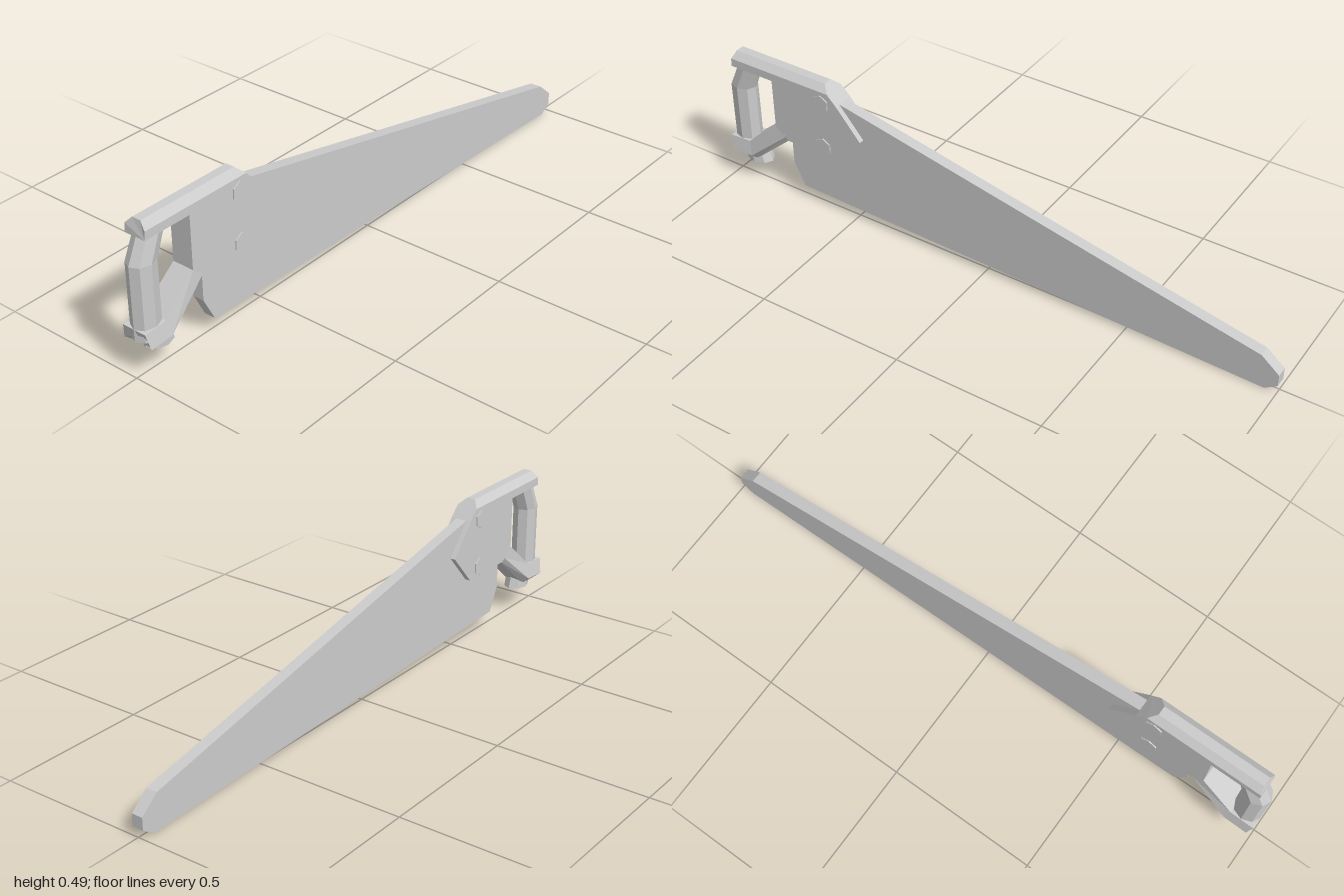
import * as THREE from 'three';

const material = new THREE.MeshStandardMaterial({ color: 0xcccccc, flatShading: true, side: THREE.DoubleSide });

function part(name, geometry) {
  const mesh = new THREE.Mesh(geometry, material);
  mesh.name = name;
  return mesh;
}

// Side outline given as [z, y], given a thickness across x.
function slab(outline, thickness) {
  const shape = new THREE.Shape(outline.map(([z, y]) => new THREE.Vector2(z, y)));
  const geometry = new THREE.ExtrudeGeometry(shape, { depth: thickness, bevelEnabled: false });
  return geometry.translate(0, 0, -thickness / 2).rotateY(-Math.PI / 2);
}

// Joins equal-length rings of [x, y, z] points into a closed faceted solid.
function loft(rings) {
  const tris = [];
  const n = rings[0].length;
  for (let r = 0; r + 1 < rings.length; r++) {
    for (let i = 0; i < n; i++) {
      const j = (i + 1) % n;
      const [a, b, c, d] = [rings[r][i], rings[r][j], rings[r + 1][j], rings[r + 1][i]];
      tris.push([a, b, c], [a, c, d]);
    }
  }
  const last = rings[rings.length - 1];
  for (let i = 1; i + 1 < n; i++) {
    tris.push([rings[0][0], rings[0][i + 1], rings[0][i]], [last[0], last[i], last[i + 1]]);
  }
  // Turn the faces outward if the rings run the other way round.
  const v = (p) => new THREE.Vector3(...p);
  const volume = tris.reduce((s, [a, b, c]) => s + v(a).dot(v(b).cross(v(c))), 0);
  if (volume < 0) tris.forEach((t) => t.reverse());
  const geometry = new THREE.BufferGeometry();
  geometry.setAttribute('position', new THREE.Float32BufferAttribute(tris.flat(2), 3));
  geometry.computeVertexNormals();
  return geometry;
}

// Mirrors half a section of [halfWidth, y, z] points into a full ring.
function mirrored(half) {
  return [...half, ...half.map(([x, y, z]) => [-x, y, z]).reverse()];
}

function octagon(y, z, rx, rz) {
  return Array.from({ length: 8 }, (_, i) => {
    const a = (i * Math.PI) / 4;
    return [rx * Math.sin(a), y, z + rz * Math.cos(a)];
  });
}

export function createModel() {
  const group = new THREE.Group();
  group.name = 'handSaw';

  // Blade, tapering to a clipped nose
  group.add(part('blade', slab([
    [0.71, 0.05], [0.75, 0.13], [0.75, 0.24], [0.6, 0.43], [0.55, 0.435],
    [-0.94, 0.12], [-1, 0.07], [-1, 0.03], [-0.96, 0.002],
  ], 0.038)));

  // Handle
  const handle = new THREE.Group();
  handle.name = 'handle';
  group.add(handle);

  handle.add(part('cheekPlate', slab([
    [0.457, 0.33], [0.55, 0.225], [0.75, 0.225], [0.8, 0.265], [0.8, 0.45], [0.56, 0.45], [0.545, 0.435],
  ], 0.074)));

  // Chamfered bar along the top, sloping at both ends
  const barEnd = (z0, z1, z2) => mirrored([[0.037, 0.44, z0], [0.037, 0.468, z1], [0.015, 0.49, z2]]);
  handle.add(part('topBar', loft([barEnd(0.55, 0.577, 0.6), barEnd(0.965, 0.963, 0.955)])));

  // Eight-sided grip with a bend near the top
  handle.add(part('grip', loft([
    octagon(0.12, 0.95, 0.04, 0.046),
    octagon(0.36, 0.95, 0.04, 0.046),
    octagon(0.455, 0.91, 0.037, 0.044),
  ])));

  // Lower arm, flaring into the foot of the grip
  handle.add(part('lowerArm', loft([
    mirrored([[0.037, 0.265, 0.8], [0.037, 0.235, 0.763], [0.025, 0.225, 0.75]]),
    mirrored([[0.042, 0.165, 0.915], [0.052, 0.115, 0.905], [0.03, 0.094, 0.9]]),
    mirrored([[0.042, 0.16, 0.995], [0.052, 0.11, 0.985], [0.03, 0.092, 0.96]]),
  ])));
  handle.add(part('footCap', loft([
    octagon(0.08, 0.91, 0.038, 0.05),
    octagon(0.115, 0.915, 0.038, 0.044),
  ])));

  // Hexagonal bolts through the cheek plate
  for (const y of [0.425, 0.26]) {
    const bolt = part('bolt', new THREE.CylinderGeometry(0.031, 0.031, 0.082, 6)
      .rotateY(Math.PI / 6).rotateZ(Math.PI / 2));
    bolt.position.set(0, y, 0.605);
    handle.add(bolt);
  }
  return group;
}
